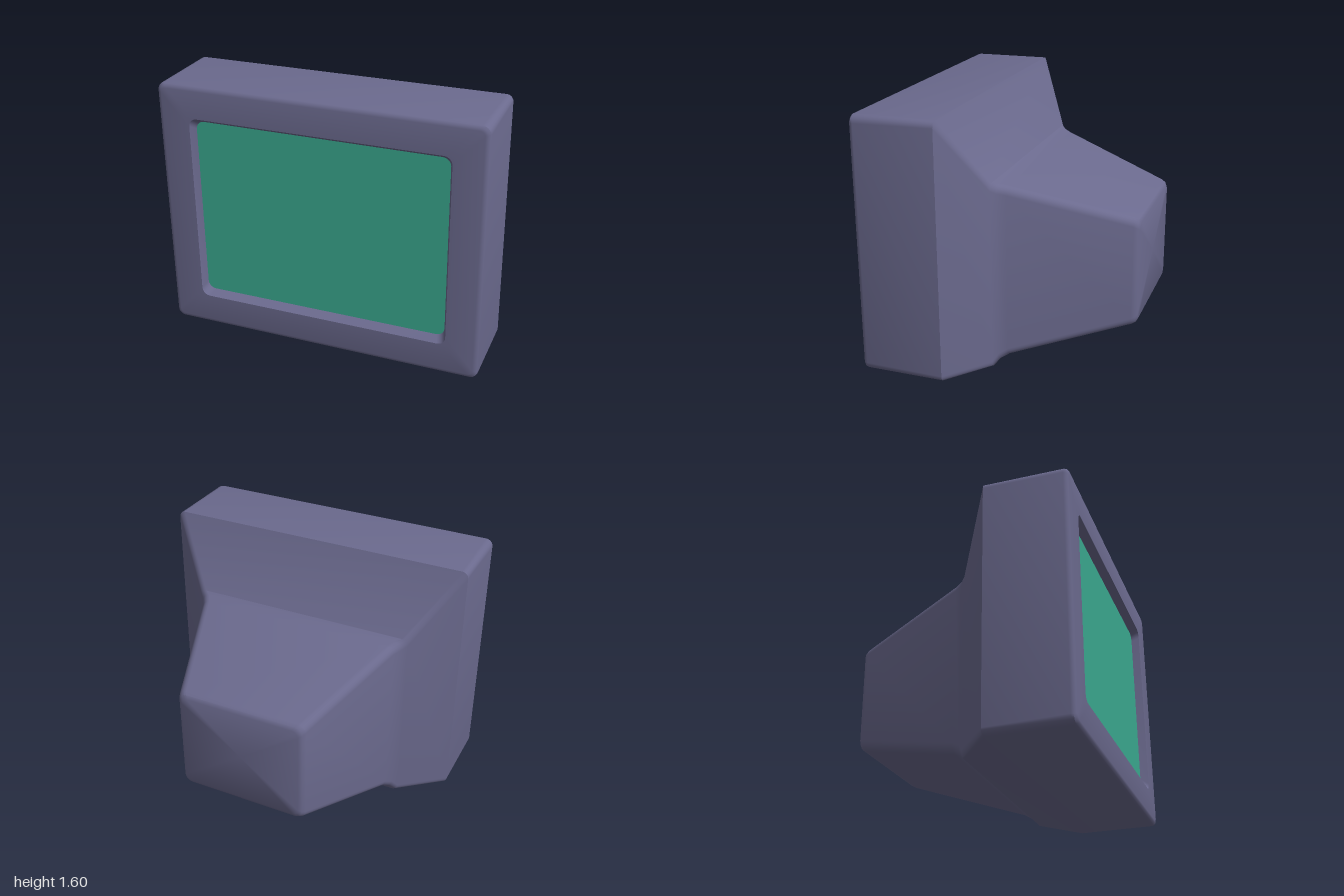
import * as THREE from 'three';
import { toCreasedNormals } from 'three/addons/utils/BufferGeometryUtils.js';

const CORNER = 5; // segments per rounded corner

// Rounded rectangle, counter-clockwise seen from the front
function roundedRect(halfW, y0, y1, r) {
  const pts = [];
  const corners = [[halfW - r, y1 - r], [-halfW + r, y1 - r], [-halfW + r, y0 + r], [halfW - r, y0 + r]];
  corners.forEach(([cx, cy], k) => {
    for (let i = 0; i <= CORNER; i++) {
      const a = (k + i / CORNER) * Math.PI / 2;
      pts.push(new THREE.Vector2(cx + r * Math.cos(a), cy + r * Math.sin(a)));
    }
  });
  return pts;
}

// Skin through rounded rectangles [z, halfWidth, bottom, top, radius], closed at the last one
function loft(sections) {
  const pos = [], index = [];
  const n = 4 * (CORNER + 1);
  for (const [z, w, y0, y1, r] of sections) {
    for (const p of roundedRect(w, y0, y1, r)) pos.push(p.x, p.y, z);
  }
  for (let s = 0; s < sections.length - 1; s++) {
    for (let j = 0; j < n; j++) {
      const a = s * n + j, b = s * n + (j + 1) % n;
      index.push(a, a + n, b, b, a + n, b + n);
    }
  }
  const [z, , y0, y1] = sections[sections.length - 1];
  const base = (sections.length - 1) * n, centre = pos.length / 3;
  pos.push(0, (y0 + y1) / 2, z);
  for (let j = 0; j < n; j++) index.push(base + j, centre, base + (j + 1) % n);
  const geo = new THREE.BufferGeometry();
  geo.setAttribute('position', new THREE.Float32BufferAttribute(pos, 3));
  geo.setIndex(index);
  return toCreasedNormals(geo, 0.62);
}

export function createModel() {
  const group = new THREE.Group();
  group.name = 'monitor';
  const shell = new THREE.MeshStandardMaterial({ color: 0x6b6a8e });
  shell.name = 'greyPurplePlastic';
  const glass = new THREE.MeshStandardMaterial({ color: 0x3aa98f });
  glass.name = 'greenScreen';

  // Casing: screen recess, bezel, front bevel, deep frame, then tapered tube housing
  const casing = new THREE.Mesh(loft([
    [0.73, 0.78, 0.23, 1.37, 0.05],
    [0.77, 0.795, 0.205, 1.395, 0.05],
    [0.78, 0.80, 0.20, 1.40, 0.05],
    [0.78, 0.97, 0.03, 1.57, 0.03],
    [0.776, 0.985, 0.015, 1.585, 0.04],
    [0.765, 0.996, 0.004, 1.596, 0.045],
    [0.75, 1, 0, 1.6, 0.05],
    [0.26, 1, 0, 1.6, 0.04],
    [0.04, 0.73, 0, 1.18, 0.04],
    [0.01, 0.70, 0.035, 1.167, 0.05],
    [-0.04, 0.67, 0.062, 1.153, 0.05],
    [-0.745, 0.425, 0.26, 0.955, 0.05],
    [-0.768, 0.412, 0.272, 0.943, 0.05],
    [-0.78, 0.39, 0.295, 0.92, 0.04],
  ]), shell);
  casing.name = 'casing';
  group.add(casing);

  // Flat screen at the bottom of the recess
  const screen = new THREE.Mesh(
    new THREE.ShapeGeometry(new THREE.Shape(roundedRect(0.78, 0.23, 1.37, 0.05))), glass);
  screen.position.z = 0.73;
  screen.name = 'screen';
  group.add(screen);
  return group;
}
